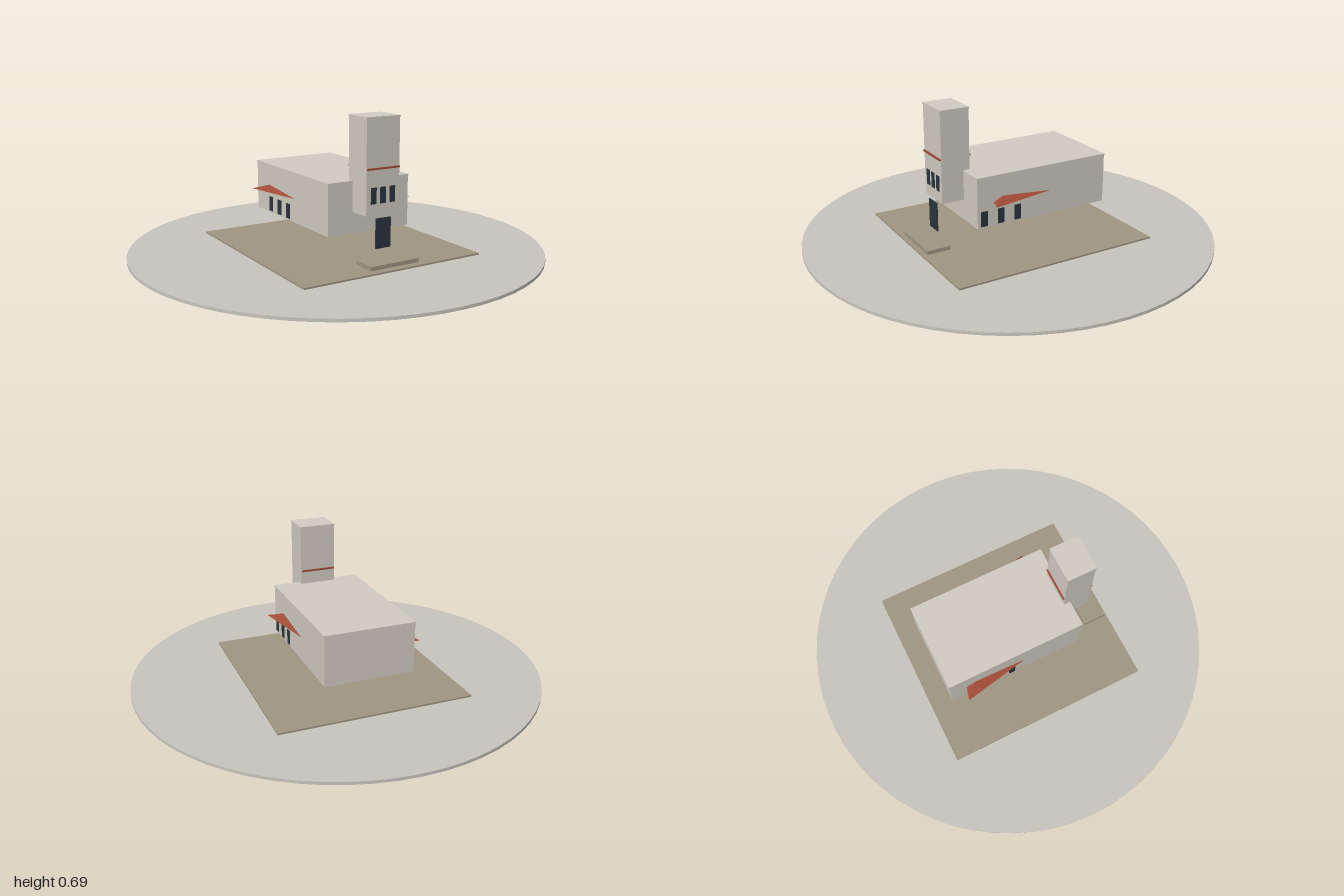
import * as THREE from 'three';
import { ConvexGeometry } from 'three/addons/geometries/ConvexGeometry.js';

const mat = (color) => new THREE.MeshStandardMaterial({ color, flatShading: true });

export function createModel() {
  const wall = mat(0xd0cbc2), ground = mat(0xc8c5bd), earth = mat(0xa09582);
  const red = mat(0xa04a35), dark = mat(0x2a333d);

  const model = new THREE.Group();
  model.name = 'chapel';

  // Round ground disc
  const disc = new THREE.Mesh(new THREE.CylinderGeometry(1, 1, 0.014, 64), ground);
  disc.name = 'groundDisc';
  disc.position.y = 0.007;
  model.add(disc);

  // Everything on the disc is turned slightly
  const site = new THREE.Group();
  site.name = 'site';
  site.rotation.y = -0.0585;
  model.add(site);

  // Box given by its bottom and top heights
  const box = (name, material, w, d, y0, y1, x, z, parent = site) => {
    const mesh = new THREE.Mesh(new THREE.BoxGeometry(w, y1 - y0, d), material);
    mesh.name = name;
    mesh.position.set(x, (y0 + y1) / 2, z);
    parent.add(mesh);
    return mesh;
  };

  box('plot', earth, 0.942, 1.03, 0.014, 0.022, 0, 0);
  box('entranceStep', earth, 0.258, 0.116, 0.031, 0.049, -0.002, 0.442);

  // Main hall with thin roof slab
  const hall = new THREE.Group();
  hall.name = 'hall';
  hall.position.z = -0.0625;
  site.add(hall);
  box('hallWalls', wall, 0.436, 0.7, 0.144, 0.382, 0, 0, hall);
  box('hallRoof', wall, 0.44, 0.704, 0.382, 0.389, 0, 0, hall);

  // Wedge canopies and window rows; the far side is the near side half-turned
  const canopy = new ConvexGeometry([
    [0.217, 0.26, 0.267], [0.281, 0.26, 0.284], [0.217, 0.284, 0.217], [0.217, 0.26, -0.05],
  ].map((p) => new THREE.Vector3(...p)));
  const windowRows = [[0.316, 0.228, 0.14], [0.2, 0.112, 0.024]];
  windowRows.forEach((row, i) => {
    const side = new THREE.Group();
    side.name = i ? 'rightSide' : 'leftSide';
    side.rotation.y = i * Math.PI;
    const wedge = new THREE.Mesh(canopy, red);
    wedge.name = 'canopy';
    side.add(wedge);
    for (const z of row) box('sideWindow', dark, 0.006, 0.034, 0.152, 0.225, 0.218, z, side);
    hall.add(side);
  });

  // Bell tower with cap, red band, windows and door
  const tower = new THREE.Group();
  tower.name = 'tower';
  tower.position.set(-0.002, 0, 0.327);
  site.add(tower);
  box('towerWalls', wall, 0.176, 0.143, 0.245, 0.677, 0, 0, tower);
  box('towerCap', wall, 0.18, 0.147, 0.677, 0.685, 0, 0, tower);
  box('towerBand', red, 0.17, 0.158, 0.452, 0.46, 0, 0, tower);
  for (const x of [-0.05, 0, 0.05]) box('towerWindow', dark, 0.029, 0.006, 0.298, 0.372, x, 0.072, tower);
  box('door', dark, 0.08, 0.006, 0.093, 0.232, 0, 0.076, tower);

  return model;
}
